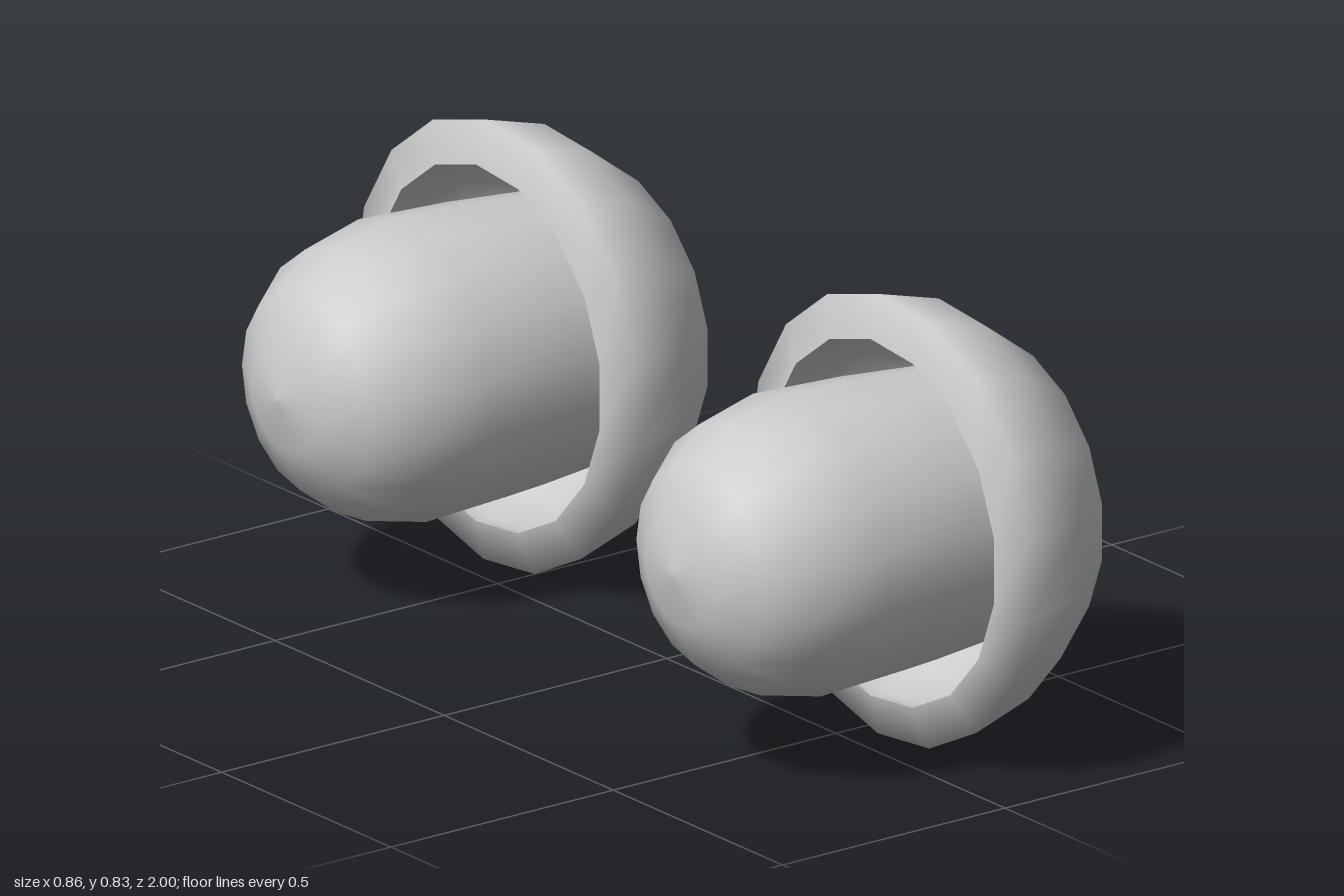
import * as THREE from 'three';

const SIDES = 17;
const material = new THREE.MeshStandardMaterial({ color: 0xcccccc });

// Profiles are [radius, position along the mushroom's axis]
const STEM = [[0, -0.432], [0.1, -0.416], [0.19, -0.367], [0.25, -0.285], [0.279, -0.155], [0.27, 0.04], [0.245, 0.32]];
const CAP_OUTSIDE = [[0.34, 0.038], [0.419, 0.06], [0.382, 0.195], [0.288, 0.32], [0.155, 0.402], [0, 0.43]];
const CAP_HOLLOW = [[0, 0.37], [0.14, 0.345], [0.25, 0.275], [0.325, 0.17], [0.345, 0.075], [0.34, 0.038]];

function turned(name, profile) {
  const points = profile.map(([r, h]) => new THREE.Vector2(r, h));
  const mesh = new THREE.Mesh(new THREE.LatheGeometry(points, SIDES, Math.PI), material);
  mesh.name = name;
  mesh.rotation.z = -Math.PI / 2; // lay the axis along +x
  return mesh;
}

function createMushroom(name) {
  const mushroom = new THREE.Group();
  mushroom.name = name;
  mushroom.add(
    turned('stem', STEM),
    turned('capOutside', CAP_OUTSIDE),
    turned('capHollow', CAP_HOLLOW)
  );
  return mushroom;
}

export function createModel() {
  const model = new THREE.Group();
  model.name = 'mushroomPair';
  // Two identical mushrooms lying side by side
  for (const [name, z] of [['frontMushroom', 0.583], ['backMushroom', -0.583]]) {
    const mushroom = createMushroom(name);
    mushroom.position.set(0, 0.419, z);
    model.add(mushroom);
  }
  return model;
}
